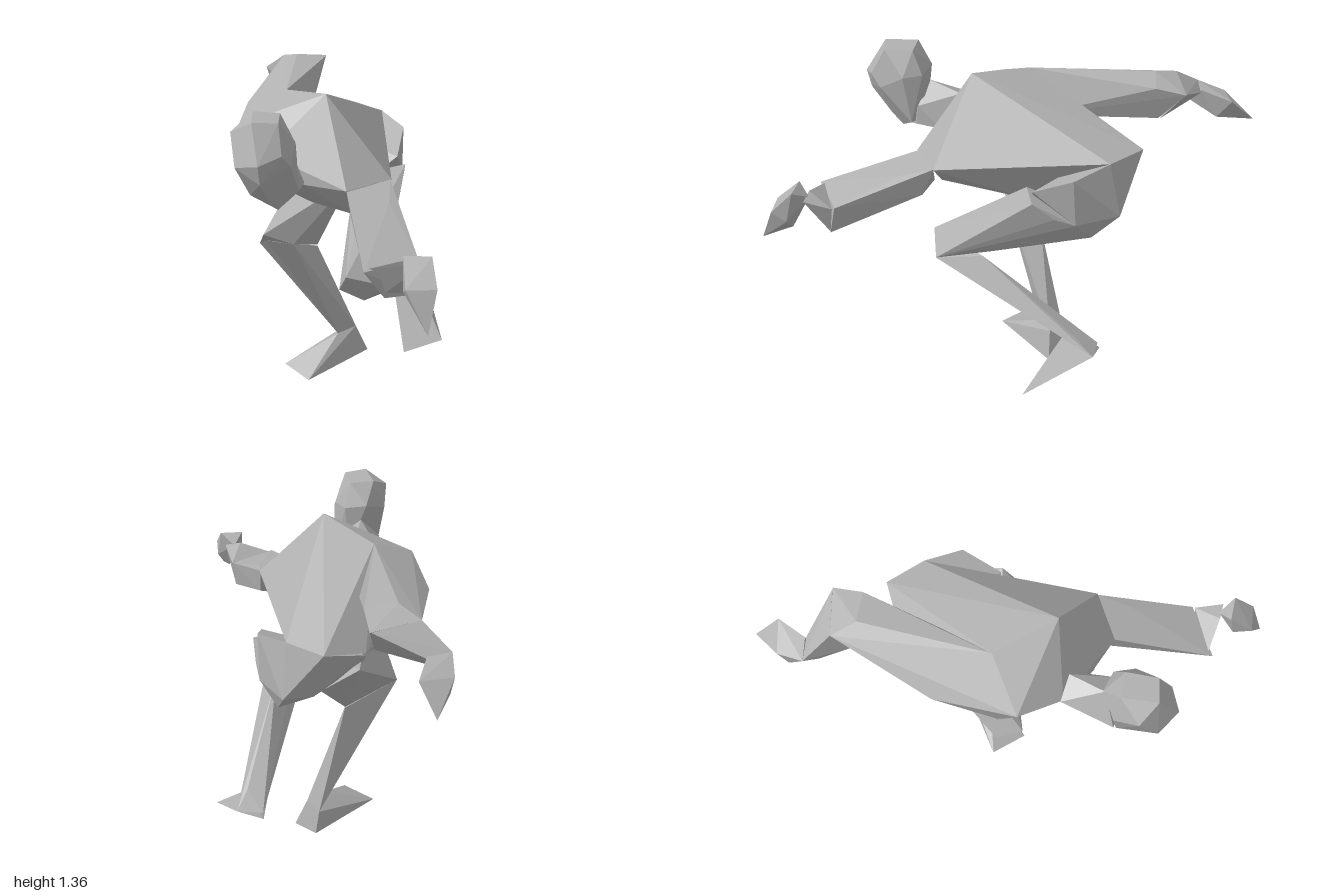
import * as THREE from 'three';
import { ConvexGeometry } from 'three/addons/geometries/ConvexGeometry.js';

// Faceted crouching figure: every body segment is the hull of its corner points.
export function createModel() {
  const figure = new THREE.Group();
  figure.name = 'crouchingFigure';
  const gray = new THREE.MeshStandardMaterial({ color: 0xb0b0b0 });
  gray.name = 'plain gray';

  const part = (name, ...corners) => {
    const points = corners.map((c) => new THREE.Vector3(...c));
    const mesh = new THREE.Mesh(new ConvexGeometry(points), gray);
    mesh.name = name;
    figure.add(mesh);
  };

  // Trunk
  part('torso',
    [-0.09, 1.353, 0.155], [-0.245, 1.31, -0.07], [-0.44, 1.2, 0.05], [-0.41, 1.025, -0.03],
    [0.16, 1.045, 0.29], [-0.02, 1.03, 0.38], [-0.18, 1.03, 0.3], [-0.33, 1.13, 0.21],
    [-0.3, 0.955, 0.08], [-0.15, 0.88, 0.1], [0, 0.9, 0.28], [0.04, 0.85, -0.08],
    [0.06, 1.12, -0.54], [0.175, 1.115, -0.41], [-0.12, 1.06, -0.46], [-0.19, 0.905, -0.2],
    [-0.29, 0.955, -0.23], [-0.3, 1.05, -0.25]);
  part('pelvis',
    [0.06, 1.12, -0.54], [0.175, 1.115, -0.41], [0.26, 1.08, -0.27], [0.26, 0.875, -0.285],
    [0.2, 0.89, -0.46], [0.08, 0.89, -0.46], [-0.12, 1.05, -0.46], [-0.15, 0.91, -0.3],
    [0.22, 1.0, -0.11], [0.03, 0.85, -0.1]);

  // Neck and head
  part('neck',
    [-0.34, 1.14, 0.2], [-0.18, 1.04, 0.3], [-0.25, 0.99, 0.24], [-0.24, 1.18, 0.22],
    [-0.33, 1.02, 0.31], [-0.4, 1.1, 0.41], [-0.21, 1.13, 0.4], [-0.3, 1.21, 0.36],
    [-0.28, 1.01, 0.45], [-0.2, 1.05, 0.41], [-0.25, 1.17, 0.31]);
  part('head',
    [-0.365, 1.362, 0.41], [-0.265, 1.357, 0.42], [-0.365, 1.36, 0.55], [-0.27, 1.355, 0.54],
    [-0.445, 1.31, 0.49], [-0.415, 1.24, 0.4], [-0.32, 1.275, 0.35], [-0.235, 1.26, 0.38],
    [-0.21, 1.255, 0.46], [-0.23, 1.2, 0.56], [-0.26, 1.25, 0.6], [-0.345, 1.225, 0.637],
    [-0.43, 1.2, 0.57], [-0.34, 1.15, 0.62], [-0.38, 1.08, 0.53], [-0.305, 1.04, 0.53],
    [-0.28, 1.0, 0.48], [-0.2, 1.055, 0.43], [-0.25, 1.06, 0.37], [-0.4, 1.1, 0.42]);

  // Left arm, reaching forward
  part('leftArm',
    [-0.02, 1.03, 0.37], [0.155, 1.045, 0.29], [0.14, 1.0, 0.43], [0, 0.9, 0.31],
    [0.15, 0.92, 0.34], [0.04, 0.89, 0.73], [0.022, 0.88, 0.79], [0.1, 0.76, 0.755],
    [0.21, 0.755, 0.72], [0.225, 0.885, 0.69]);
  part('leftWrist',
    [0.04, 0.885, 0.77], [0.1, 0.78, 0.755], [0.21, 0.76, 0.72], [0.225, 0.88, 0.7],
    [0.17, 0.93, 0.8], [0.24, 0.92, 0.81]);
  part('leftHand',
    [0.155, 0.965, 0.84], [0.255, 0.965, 0.85], [0.2, 0.92, 0.795], [0.155, 0.84, 0.87],
    [0.155, 0.88, 0.94], [0.265, 0.88, 0.94], [0.27, 0.84, 0.88], [0.23, 0.735, 1.0],
    [0.22, 0.785, 0.87]);

  // Right arm, swung back
  part('rightArm',
    [-0.44, 1.2, 0.05], [-0.41, 1.04, -0.03], [-0.245, 1.31, -0.07], [-0.415, 1.2, -0.275],
    [-0.36, 1.09, -0.17], [-0.17, 1.13, -0.1], [-0.26, 1.31, -0.67], [-0.2, 1.335, -0.58],
    [-0.075, 1.32, -0.58], [-0.065, 1.3, -0.7], [-0.11, 1.17, -0.6], [-0.25, 1.18, -0.61]);
  part('rightWrist',
    [-0.26, 1.31, -0.67], [-0.07, 1.3, -0.7], [-0.11, 1.17, -0.61], [-0.25, 1.18, -0.61],
    [-0.345, 1.23, -0.77], [-0.25, 1.22, -0.78], [-0.3, 1.15, -0.73]);
  part('rightHand',
    [-0.345, 1.23, -0.77], [-0.25, 1.23, -0.78], [-0.3, 1.16, -0.74], [-0.32, 1.2, -0.88],
    [-0.185, 1.215, -0.9], [-0.225, 1.12, -1.0], [-0.32, 1.11, -0.85], [-0.23, 1.12, -0.85]);

  // Left leg, lifted behind
  part('leftThigh',
    [0.255, 0.965, -0.11], [0.26, 0.9, -0.2], [0.26, 0.875, -0.285], [0.2, 0.78, -0.35],
    [0.09, 0.82, -0.36], [0.09, 0.94, -0.08], [0.03, 0.86, -0.1],
    [-0.02, 0.64, 0.325], [0.13, 0.59, 0.3], [-0.045, 0.565, 0.28], [0.12, 0.63, 0.06]);
  part('leftButtock',
    [0.2, 0.89, -0.46], [0.08, 0.89, -0.46], [0.26, 0.875, -0.285], [0.2, 0.78, -0.35],
    [0.09, 0.82, -0.36], [0.05, 0.88, -0.2]);
  part('leftShin',
    [-0.02, 0.64, 0.315], [0.13, 0.59, 0.3], [-0.045, 0.565, 0.28], [0.06, 0.49, 0.235],
    [0.13, 0.61, 0.1], [0.23, 0.32, -0.28], [0.33, 0.35, -0.31], [0.385, 0.3, -0.38],
    [0.28, 0.29, -0.4]);
  part('leftFoot',
    [0.23, 0.315, -0.27], [0.33, 0.35, -0.31], [0.385, 0.3, -0.38], [0.28, 0.265, -0.41],
    [0.44, 0.115, -0.09], [0.27, 0.035, -0.125]);

  // Right leg, standing
  part('rightThigh',
    [-0.2, 0.93, -0.15], [0.02, 0.9, -0.1], [0.03, 0.84, -0.36], [-0.1, 0.98, -0.45],
    [0, 0.8, -0.25], [-0.355, 0.72, 0.06], [-0.23, 0.66, 0.03], [-0.125, 0.585, -0.135],
    [-0.375, 0.635, -0.05]);
  part('rightShin',
    [-0.345, 0.69, 0.05], [-0.23, 0.66, 0.03], [-0.125, 0.58, -0.135], [-0.375, 0.635, -0.05],
    [-0.29, 0.54, -0.08], [-0.035, 0.135, -0.14], [0.05, 0.145, -0.19], [0.01, 0.12, -0.25]);
  part('rightFoot',
    [-0.035, 0.135, -0.14], [0.05, 0.145, -0.19], [0.01, 0.12, -0.25],
    [0.105, 0.02, -0.19], [0.03, 0.02, -0.275], [-0.28, 0.01, -0.09], [-0.175, 0, 0.045]);

  return figure;
}
